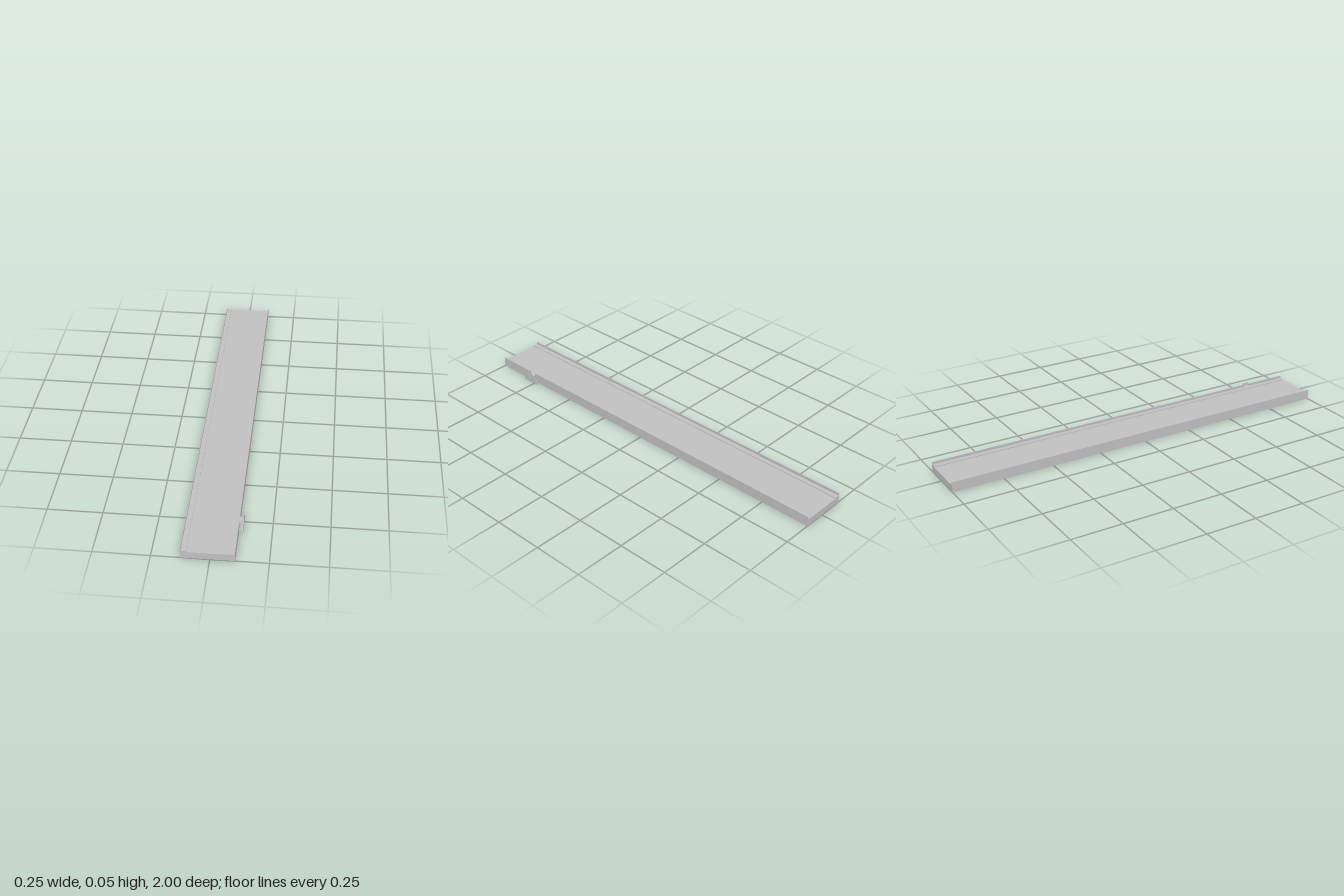
import * as THREE from 'three';

export function createModel() {
  const model = new THREE.Group();
  model.name = 'platform';
  const concrete = new THREE.MeshStandardMaterial({ color: 0xc0c0c0 });
  concrete.name = 'concrete grey';

  // Box given by its minimum and maximum on each axis
  function box(name, [x0, x1], [y0, y1], [z0, z1], parent = model) {
    const mesh = new THREE.Mesh(new THREE.BoxGeometry(x1 - x0, y1 - y0, z1 - z0), concrete);
    mesh.position.set((x0 + x1) / 2, (y0 + y1) / 2, (z0 + z1) / 2);
    mesh.name = name;
    parent.add(mesh);
  }

  // Deck slab with a raised walkway along each side
  const left = 0.107, right = -0.125, walk = 0.025;
  const deckTop = 0.033, walkTop = 0.037, wallTop = 0.05, wall = 0.002;
  const deck = new THREE.Shape([
    [right, 0], [left, 0], [left, walkTop], [left - walk, walkTop], [left - walk, deckTop],
    [right + walk, deckTop], [right + walk, walkTop], [right, walkTop],
  ].map(([x, y]) => new THREE.Vector2(x, y)));
  const deckGeometry = new THREE.ExtrudeGeometry(deck, { depth: 2, bevelEnabled: false });
  deckGeometry.translate(0, 0, -1);
  const slab = new THREE.Mesh(deckGeometry, concrete);
  slab.name = 'deck';
  model.add(slab);

  // Parapets, with an opening at the stair landing
  const landingBack = 0.76, landingFront = 0.79, stairFront = 0.823;
  box('rightParapet', [right, right + wall], [walkTop, wallTop], [-1, 1]);
  box('leftParapetBack', [left - wall, left], [walkTop, wallTop], [-1, landingBack]);
  box('leftParapetFront', [left - wall, left], [walkTop, wallTop], [landingFront, 1]);

  // Side stair: landing and steps descending to the front
  const stair = new THREE.Group();
  stair.name = 'stair';
  model.add(stair);
  const outer = 0.124, steps = 10;
  box('landing', [left, outer - wall], [walkTop - 0.004, walkTop], [landingBack, landingFront], stair);
  const tread = (stairFront - landingFront) / steps;
  for (let i = 0; i < steps; i++) {
    const top = walkTop * (steps - i) / (steps + 1);
    box('step', [left, outer - wall], [Math.max(0, top - 0.006), top],
      [landingFront + i * tread, landingFront + (i + 1) * tread], stair);
  }

  // Outer guard panel, sloped along the stair
  const panel = new THREE.Shape([
    [0.728, 0], [stairFront, 0], [stairFront, 0.015], [landingFront, wallTop],
    [landingBack, wallTop], [0.728, 0.015],
  ].map(([z, y]) => new THREE.Vector2(-z, y)));
  const panelGeometry = new THREE.ExtrudeGeometry(panel, { depth: wall, bevelEnabled: false });
  panelGeometry.rotateY(Math.PI / 2);
  panelGeometry.translate(outer - wall, 0, 0);
  const guard = new THREE.Mesh(panelGeometry, concrete);
  guard.name = 'stairGuard';
  stair.add(guard);

  return model;
}
